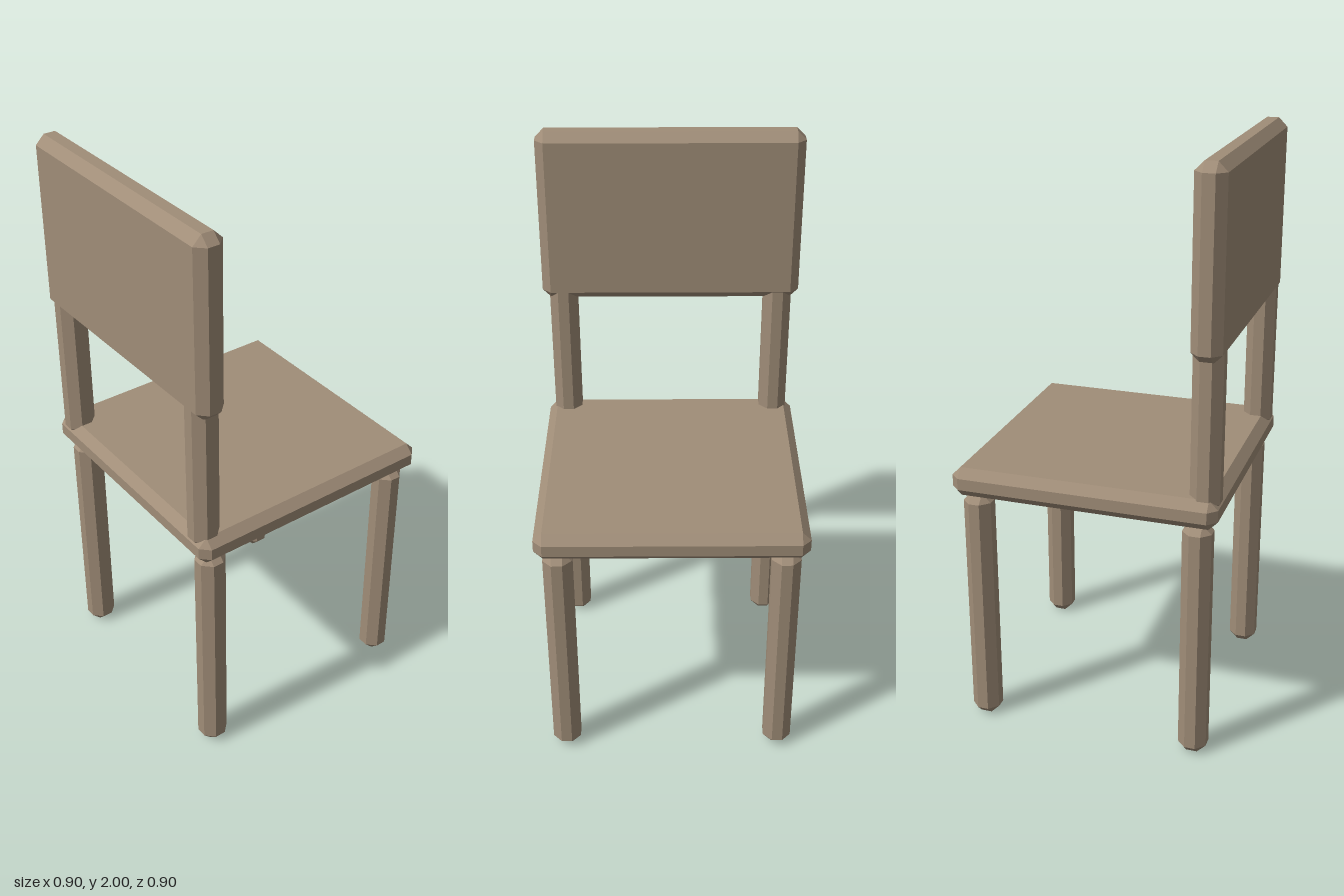
import * as THREE from 'three';
import { ConvexGeometry } from 'three/addons/geometries/ConvexGeometry.js';

const BEVEL = 0.03;

// Box with all edges cut at 45 degrees and triangular corners
function chamferedBox(w, h, d, b = BEVEL) {
  const points = [];
  for (const sx of [-1, 1]) for (const sy of [-1, 1]) for (const sz of [-1, 1]) {
    const x = w / 2, y = h / 2, z = d / 2;
    points.push(
      new THREE.Vector3(sx * x, sy * (y - b), sz * (z - b)),
      new THREE.Vector3(sx * (x - b), sy * y, sz * (z - b)),
      new THREE.Vector3(sx * (x - b), sy * (y - b), sz * z)
    );
  }
  return new ConvexGeometry(points);
}

export function createModel() {
  const chair = new THREE.Group();
  chair.name = 'chair';
  const wood = new THREE.MeshStandardMaterial({ color: 0xa08d78, flatShading: true });

  const add = (name, geometry, x, y, z) => {
    const mesh = new THREE.Mesh(geometry, wood);
    mesh.name = name;
    mesh.position.set(x, y, z);
    chair.add(mesh);
  };

  // Seat slab
  add('seat', chamferedBox(0.9, 0.1, 0.9), 0, 0.903, 0);

  // Backrest panel along the +z edge
  add('backrest', chamferedBox(0.9, 0.6, 0.1), 0, 1.7, 0.4);

  // Four legs, and two posts joining the seat to the backrest
  const leg = chamferedBox(0.097, 0.854, 0.097);
  const post = chamferedBox(0.097, 1.0, 0.098);
  for (const [side, x] of [['left', 0.377], ['right', -0.377]]) {
    add(side + 'LegNearBackrest', leg, x, 0.427, 0.377);
    add(side + 'LegAwayFromBackrest', leg, x, 0.427, -0.377);
    add(side + 'BackPost', post, x, 1.403, 0.4);
  }

  return chair;
}
